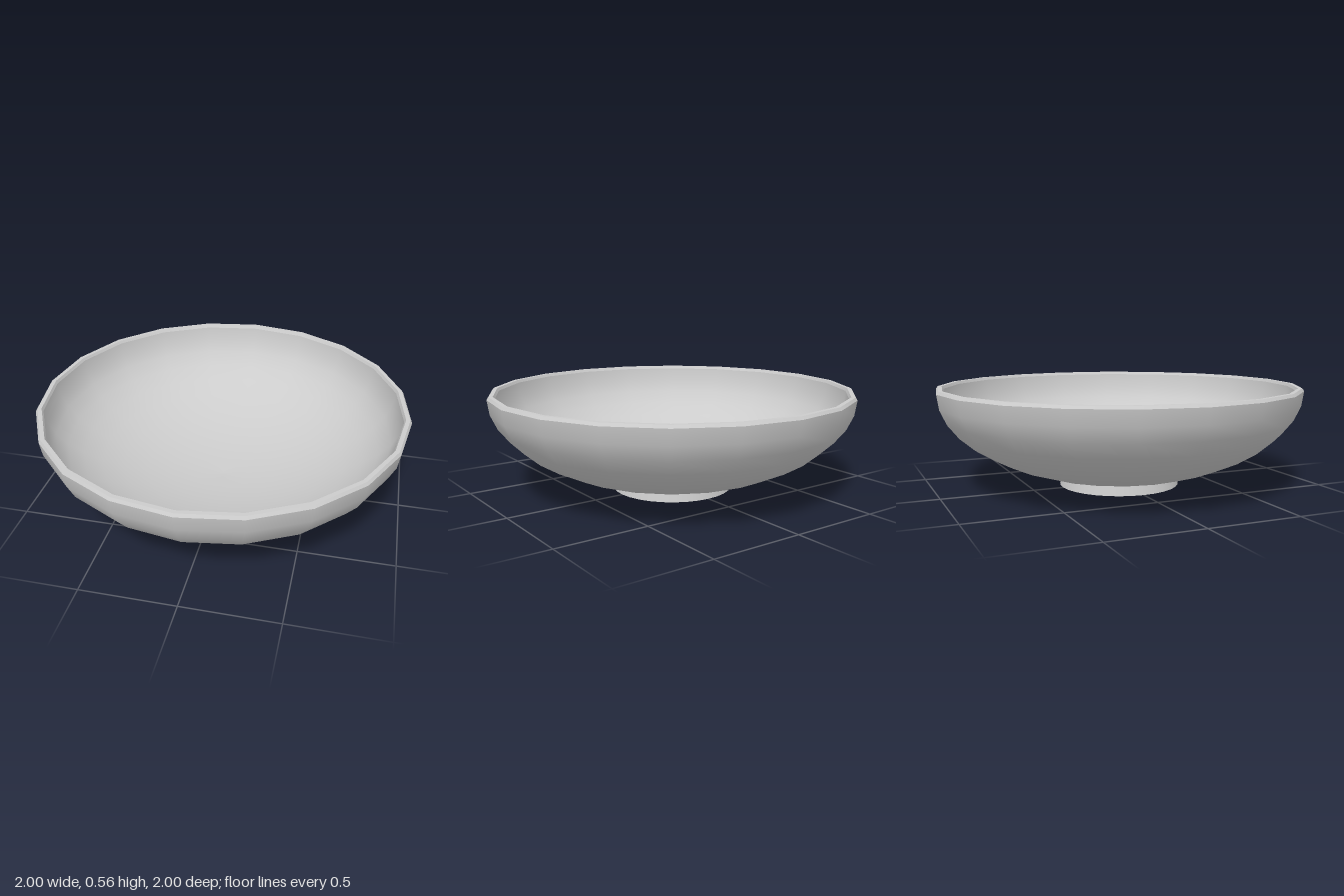
import * as THREE from 'three';

const SIDES = 20, STEPS = 10, RIM_Y = 0.54;

// quarter-ellipse profile from the centre bottom up to the rim
function ellipseProfile(radius, depth) {
  const pts = [];
  for (let i = 0; i <= STEPS; i++) {
    const a = (i / STEPS) * Math.PI / 2;
    pts.push(new THREE.Vector2(radius * Math.sin(a), RIM_Y - depth * Math.cos(a)));
  }
  return pts;
}

export function createModel() {
  const group = new THREE.Group();
  const material = new THREE.MeshStandardMaterial({ color: 0xcccccc });

  const add = (name, geometry) => {
    const mesh = new THREE.Mesh(geometry, material);
    mesh.name = name;
    group.add(mesh);
    return mesh;
  };

  // smooth outer and inner walls
  add('outerBowl', new THREE.LatheGeometry(ellipseProfile(1, 0.515), SIDES));
  add('innerBowl', new THREE.LatheGeometry(ellipseProfile(0.96, 0.48).reverse(), SIDES));

  // rim with a small chamfer on each side, each band kept crisp
  const rim = [[1, RIM_Y], [0.99, 0.555], [0.968, 0.555], [0.96, RIM_Y]]
    .map(([r, y]) => new THREE.Vector2(r, y));
  ['rimOuterBevel', 'rimTop', 'rimInnerBevel'].forEach((name, i) =>
    add(name, new THREE.LatheGeometry([rim[i], rim[i + 1]], SIDES)));

  // solid round foot, slightly wider at the base
  add('foot', new THREE.CylinderGeometry(0.32, 0.333, 0.06, 32)).position.y = 0.03;

  return group;
}
